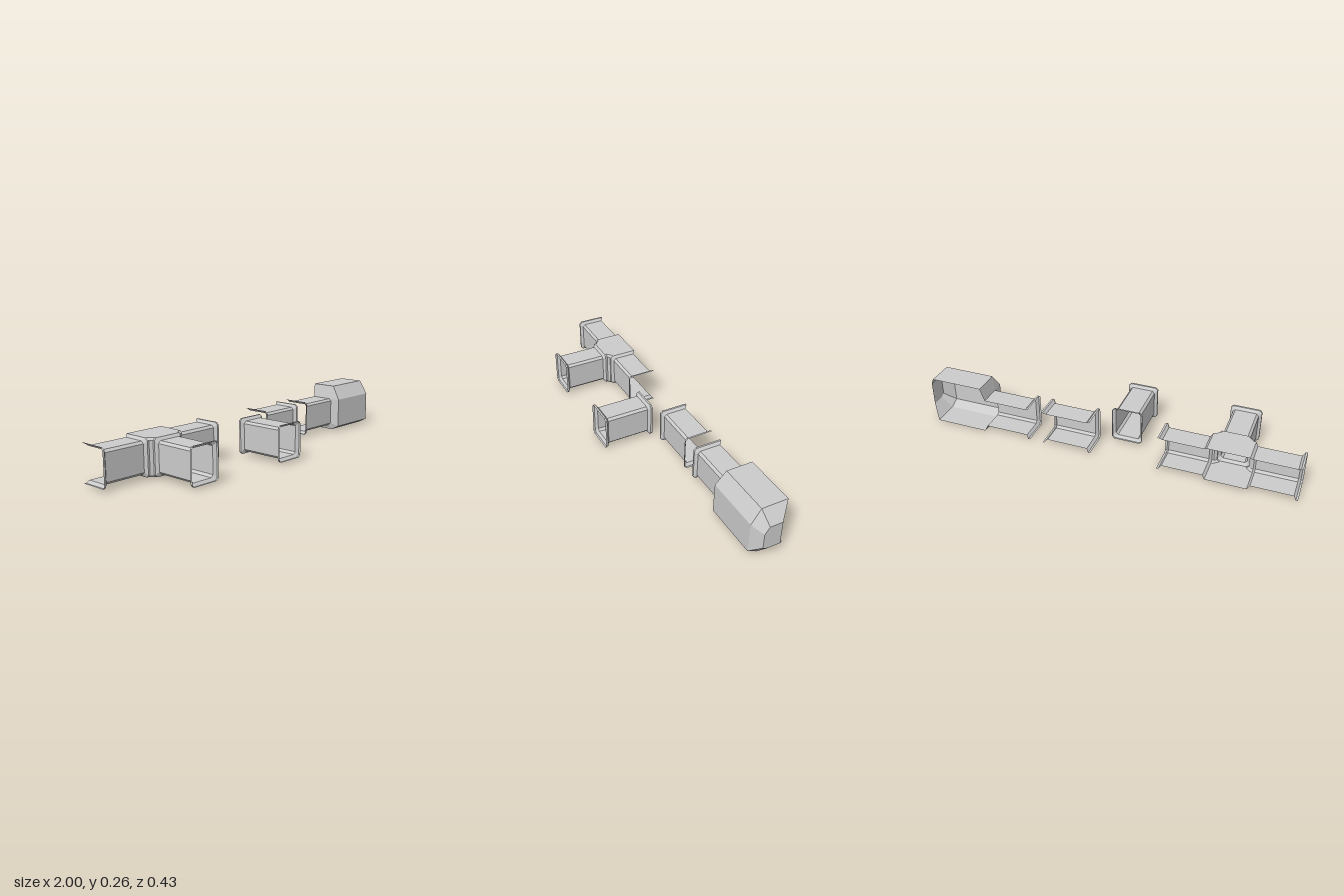
import * as THREE from 'three';

const material = new THREE.MeshStandardMaterial({ color: 0xcccccc, flatShading: true, side: THREE.DoubleSide });

// Thin faceted skin stretched over rows of [x, y, z] points
function skin(name, rows, closed = false) {
  const pos = [];
  for (let i = 0; i + 1 < rows.length; i++) {
    const a = rows[i], b = rows[i + 1], n = a.length;
    for (let j = 0; j < (closed ? n : n - 1); j++) {
      const k = (j + 1) % n;
      pos.push(...a[j], ...b[j], ...b[k], ...a[j], ...b[k], ...a[k]);
    }
  }
  const geo = new THREE.BufferGeometry();
  geo.setAttribute('position', new THREE.Float32BufferAttribute(pos, 3));
  geo.computeVertexNormals();
  const mesh = new THREE.Mesh(geo, material);
  mesh.name = name;
  return mesh;
}

const Y0 = 0.026, Y1 = 0.185, C = 0.012; // floor, ceiling, corner bevel
const LIP = 0.014;                       // how far a flange stands out

// Open-backed corridor section in the plane at x
function openSection(x, out) {
  const f = -0.081 + out, b = -0.205 - out * 0.85, lo = Y0 - out, hi = Y1 + out;
  return [[b, hi], [f - C, hi], [f, hi - C], [f, lo + C], [f - C, lo], [b, lo]].map(([z, y]) => [x, y, z]);
}

// Full tube section in the plane at z
function tubeSection(cx, z, out) {
  const w = 0.067 + out, lo = Y0 - out, hi = Y1 + out;
  return [[-w + C, hi], [w - C, hi], [w, hi - C], [w, lo + C], [w - C, lo], [-w + C, lo], [-w, lo + C], [-w, hi - C]]
    .map(([x, y]) => [cx + x, y, z]);
}

// Flange profile at both ends: [position along the run, outward offset]
function run(a, b) {
  return [[a, LIP], [a + 0.01, LIP], [a + 0.022, 0], [b - 0.022, 0], [b - 0.01, LIP], [b, LIP]];
}

const corridor = (name, a, b) => skin(name, run(a, b).map(([x, o]) => openSection(x, o)));
const tube = (name, cx, a, b) => skin(name, run(a, b).map(([z, o]) => tubeSection(cx, z, o)), true);

function junction() {
  const g = new THREE.Group();
  g.name = 'teeJunction';
  const cx = -0.65, h = 0.095, front = -0.056;
  // Two arms and the forward branch
  g.add(corridor('rightArm', -1, cx - h), corridor('leftArm', cx + h, -0.3), tube('branch', cx, front, 0.2));
  // Hub floor and ceiling
  const side = openSection(0, LIP), mouth = tubeSection(0, 0, LIP);
  const zBack = side[0][2], zCorner = side[1][2], xm = mouth[1][0];
  for (const [name, y] of [['hubCeiling', Y1 + LIP], ['hubFloor', Y0 - LIP]]) {
    g.add(skin(name, [-1, 1].map(s => [[cx + s * h, y, zBack], [cx + s * h, y, zCorner], [cx + s * xm, y, front]])));
  }
  // Slanted corner posts between arms and branch
  for (const s of [-1, 1]) {
    g.add(skin('hubCorner', [
      side.slice(1, 5).map(([, y, z]) => [cx + s * h, y, z]),
      mouth.slice(1, 5).map(([x, y]) => [cx + s * x, y, front]),
    ]));
  }
  return g;
}

function endRoom() {
  const g = new THREE.Group();
  g.name = 'endRoom';
  // Corridor leading in
  const lead = run(0.396, 0.7).slice(0, 3).map(([x, o]) => openSection(x, o));
  const neck = openSection(0.652, 0);
  g.add(skin('roomCorridor', [...lead, neck]));
  // Bevelled shell, open at the back
  const room = [[-0.216, 0.26], [-0.077, 0.26], [-0.028, 0.185], [-0.028, 0.025], [-0.077, 0], [-0.216, 0]];
  const end = [[-0.16, 0.19], [-0.092, 0.19], [-0.068, 0.155], [-0.068, 0.073], [-0.092, 0.062], [-0.16, 0.062]]
    .map(([z, y]) => [1, y, z]);
  const xs = [0.669, 0.669, 0.656, 0.656, 0.662, 0.662];
  g.add(skin('roomShell', [
    neck,
    room.map(([z, y], i) => [xs[i], y, z]),
    room.map(([z, y]) => [0.947, y, z]),
    end,
  ]));
  // End wall
  g.add(skin('roomEndWall', [end.slice(0, 3), end.slice(3).reverse()]));
  return g;
}

export function createModel() {
  const model = new THREE.Group();
  model.name = 'corridorKit';
  model.add(
    junction(),
    tube('straightTube', -0.085, -0.054, 0.217),
    corridor('openCorridor', 0.056, 0.322),
    endRoom(),
  );
  return model;
}
